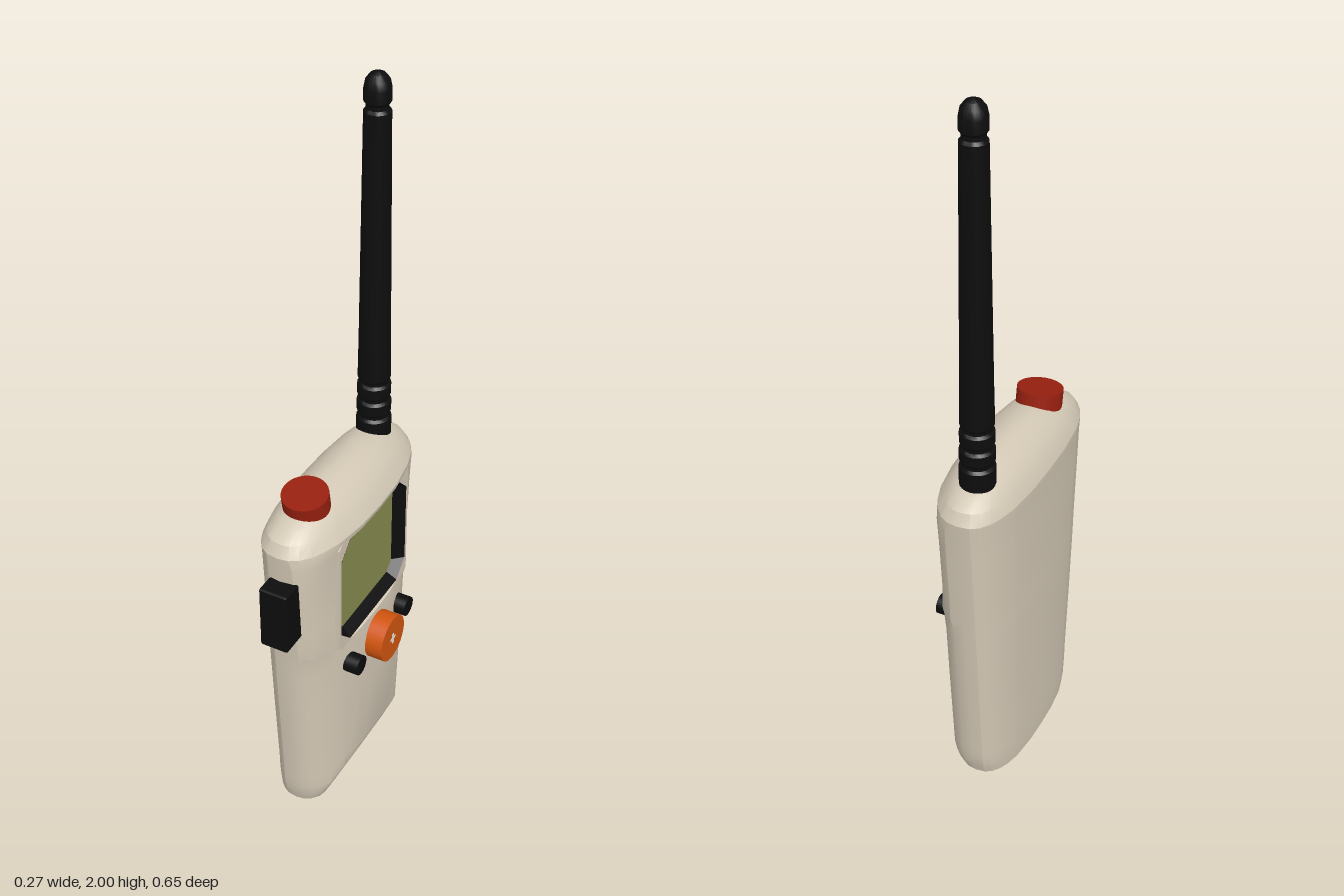
import * as THREE from 'three';
import { toCreasedNormals } from 'three/addons/utils/BufferGeometryUtils.js';
import { RoundedBoxGeometry } from 'three/addons/geometries/RoundedBoxGeometry.js';

const mat = (name, color, side = THREE.FrontSide) => {
  const m = new THREE.MeshStandardMaterial({ color, side });
  m.name = name;
  return m;
};

// Case cross-sections: height, half width, front x, back x, front squareness
const ROWS = [
  [0.008, 0.07, -0.015, -0.05, 2], [0.02, 0.14, 0, -0.075, 2], [0.035, 0.19, 0.03, -0.1, 2.2],
  [0.06, 0.232, 0.06, -0.117, 2.4], [0.09, 0.242, 0.08, -0.119, 2.4], [0.12, 0.247, 0.085, -0.119, 2.4],
  [0.15, 0.249, 0.085, -0.12, 2.4], [0.185, 0.251, 0.086, -0.12, 2.4], [0.4, 0.266, 0.088, -0.125, 2.4],
  [0.55, 0.276, 0.088, -0.128, 2.4], [0.603, 0.279, 0.083, -0.129, 2.7], [0.62, 0.28, 0.08, -0.129, 3],
  [0.7, 0.286, 0.074, -0.13, 3], [0.85, 0.296, 0.075, -0.133, 3], [0.922, 0.301, 0.082, -0.134, 2.8],
  [0.94, 0.303, 0.088, -0.135, 2.5], [0.955, 0.304, 0.092, -0.135, 2.3], [0.985, 0.287, 0.075, -0.122, 2.2],
  [1.01, 0.25, 0.055, -0.103, 2.2], [1.03, 0.19, 0.03, -0.08, 2.2], [1.043, 0.1, 0, -0.055, 2]
];

function caseGeometry() {
  const half = [1, 0.985, 0.94, 0.86, 0.76, 0.62, 0.58, 0.3];
  const ts = [...half, 0, ...half.map(t => -t).reverse()];
  const n = ts.length * 2 - 2;
  const pos = [], idx = [];
  for (const [y, w, f, b, e] of ROWS) {
    const zc = -0.011 - 0.011 * y, xm = -0.03;
    for (let j = 0; j < n; j++) {
      const front = j < ts.length;
      const t = front ? ts[j] : ts[n - j];
      const p = front ? e : 2.7;
      let x = xm + ((front ? f : b) - xm) * Math.pow(1 - Math.pow(Math.abs(t), p), 1 / p);
      x = Math.min(x, 0.48 * y + 0.001); // sloped chin
      if (front && Math.abs(t) < 0.6 && y > 0.61 && y < 0.93) x = 0.03; // screen pocket
      pos.push(x, y, zc + t * w);
    }
  }
  for (let i = 0; i < ROWS.length - 1; i++) {
    for (let j = 0; j < n; j++) {
      const a = i * n + j, b = i * n + (j + 1) % n;
      idx.push(a, b, b + n, a, b + n, a + n);
    }
  }
  // Close bottom and top
  const lo = pos.length / 3, hi = lo + 1, last = (ROWS.length - 1) * n;
  pos.push(-0.03, 0, -0.011, -0.028, 1.048, -0.022);
  for (let j = 0; j < n; j++) {
    const k = (j + 1) % n;
    idx.push(lo, k, j, hi, last + j, last + k);
  }
  const g = new THREE.BufferGeometry();
  g.setAttribute('position', new THREE.Float32BufferAttribute(pos, 3));
  g.setIndex(idx);
  return toCreasedNormals(g, 0.4);
}

// Rectangle with clipped corners
const octagon = (l, r, b, t, c) => [
  [l + c, b], [r - c, b], [r, b + c], [r, t - c], [r - c, t], [l + c, t], [l, t - c], [l, b + c]
].map(p => new THREE.Vector2(...p));

export function createModel() {
  const shell = mat('beige shell', 0xd3c8b5);
  const black = mat('black rubber', 0x0d0d0e);
  const bezelBlack = mat('black bezel', 0x0d0d0e, THREE.DoubleSide);
  const olive = mat('olive display', 0x878b4d);
  const red = mat('red knob', 0x97200f);
  const orange = mat('orange button', 0xd2550f);
  const white = mat('white mark', 0xf0e8e0);

  const model = new THREE.Group();
  model.name = 'handheldRadio';
  const add = (name, geo, material, parent = model) => {
    const m = new THREE.Mesh(geo, material);
    m.name = name;
    parent.add(m);
    return m;
  };

  add('case', caseGeometry(), shell);

  // Recessed display, drawn in the XY plane and turned to face +x
  const display = new THREE.Group();
  display.name = 'display';
  display.rotation.y = Math.PI / 2;
  model.add(display);

  const outer = octagon(-0.156, 0.193, 0.606, 0.934, 0.045);
  const inner = octagon(-0.124, 0.172, 0.622, 0.914, 0.025);
  const surround = new THREE.Shape(octagon(-0.166, 0.203, 0.599, 0.943, 0.012));
  surround.holes.push(new THREE.Path(outer));
  add('displaySurround', new THREE.ExtrudeGeometry(surround, { depth: 0.016, bevelEnabled: false }), shell, display)
    .position.z = 0.06;

  const ring = [];
  outer.forEach((o, i) => {
    const k = (i + 1) % 8, o2 = outer[k], a = inner[i], a2 = inner[k];
    ring.push(o.x, o.y, 0.0765, o2.x, o2.y, 0.0765, a2.x, a2.y, 0.047);
    ring.push(o.x, o.y, 0.0765, a2.x, a2.y, 0.047, a.x, a.y, 0.047);
  });
  const bezel = new THREE.BufferGeometry();
  bezel.setAttribute('position', new THREE.Float32BufferAttribute(ring, 3));
  bezel.computeVertexNormals();
  add('displayBezel', bezel, bezelBlack, display);
  add('screen', new THREE.ShapeGeometry(new THREE.Shape(inner)), olive, display).position.z = 0.047;

  // Front buttons
  const button = (name, r, x0, x1, y, z, material) => {
    const m = add(name, new THREE.CylinderGeometry(r, r, x1 - x0, 32), material);
    m.rotation.z = -Math.PI / 2;
    m.position.set((x0 + x1) / 2, y, z);
  };
  button('mainButton', 0.065, 0.05, 0.134, 0.525, -0.018, orange);
  button('leftSmallButton', 0.027, 0.04, 0.113, 0.53, 0.117, black);
  button('rightSmallButton', 0.027, 0.04, 0.113, 0.524, -0.15, black);
  for (const [h, d] of [[0.032, 0.007], [0.007, 0.028]]) {
    add('buttonMark', new THREE.BoxGeometry(0.002, h, d), white).position.set(0.1345, 0.525, -0.018);
  }

  // Talk button on the side
  add('talkButton', new RoundedBoxGeometry(0.077, 0.18, 0.09, 1, 0.006), black).position.set(-0.021, 0.79, 0.281);

  // Tilted top knob
  const knob = add('topKnob', new THREE.CylinderGeometry(0.059, 0.059, 0.06, 32), red);
  knob.position.set(-0.028, 1.032, 0.143);
  knob.rotation.x = 0.18;

  // Antenna with grooved base and rounded tip
  const profile = [
    [0, 0.98], [0.045, 0.98], [0.045, 1.065], [0.039, 1.072], [0.039, 1.08], [0.044, 1.087], [0.044, 1.115],
    [0.038, 1.122], [0.038, 1.13], [0.043, 1.137], [0.043, 1.165], [0.037, 1.172], [0.037, 1.18],
    [0.042, 1.187], [0.04, 1.3], [0.033, 1.905], [0.027, 1.912], [0.027, 1.922], [0.033, 1.93],
    [0.033, 1.96], [0.029, 1.98], [0.018, 1.994], [0, 2]
  ].map(p => new THREE.Vector2(...p));
  add('antenna', toCreasedNormals(new THREE.LatheGeometry(profile, 24), 0.6), black).position.set(-0.033, 0, -0.217);

  return model;
}
